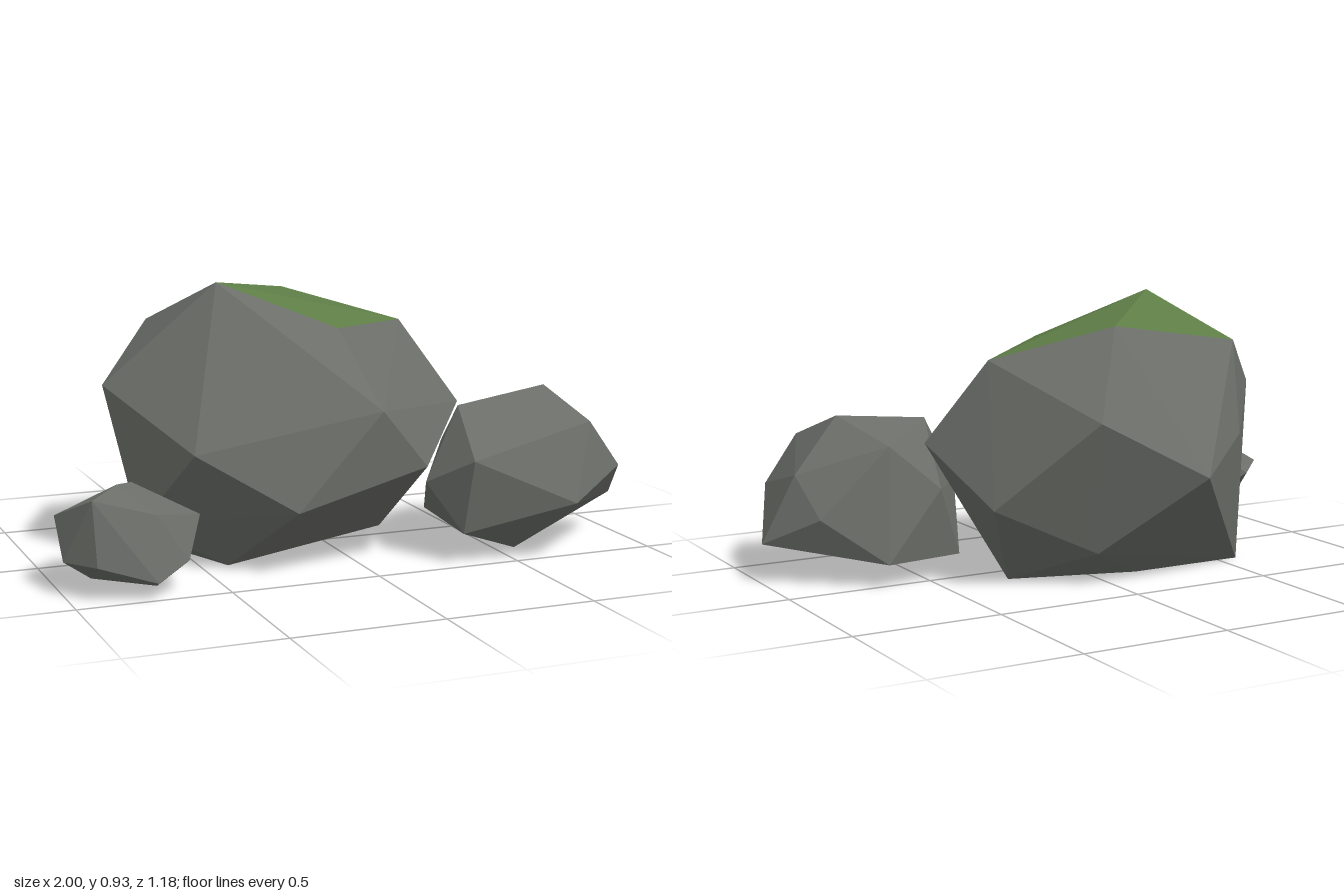
import * as THREE from 'three';
import { ConvexGeometry } from 'three/addons/geometries/ConvexGeometry.js';

const stone = new THREE.MeshStandardMaterial({ color: 0x6b6e69, flatShading: true });
stone.name = 'stone';
const moss = new THREE.MeshStandardMaterial({ color: 0x5e7d46, flatShading: true });
moss.name = 'moss';

const toVectors = (points) => points.map((p) => new THREE.Vector3(...p));

// A faceted boulder: the hull around a few corner points
function boulder(name, points) {
  const mesh = new THREE.Mesh(new ConvexGeometry(toVectors(points)), stone);
  mesh.name = name;
  return mesh;
}

// Splits a hull into the facets whose corners all lie in `corners`, and the rest
function splitFacets(geometry, corners) {
  const pos = geometry.attributes.position;
  const marks = toVectors(corners);
  const inside = [];
  const outside = [];
  const v = new THREE.Vector3();
  for (let i = 0; i < pos.count; i += 3) {
    const tri = [];
    let hits = 0;
    for (let k = 0; k < 3; k++) {
      v.fromBufferAttribute(pos, i + k);
      if (marks.some((m) => m.distanceTo(v) < 1e-4)) hits++;
      tri.push(v.x, v.y, v.z);
    }
    (hits === 3 ? inside : outside).push(...tri);
  }
  return [inside, outside].map((list) => {
    const g = new THREE.BufferGeometry();
    g.setAttribute('position', new THREE.Float32BufferAttribute(list, 3));
    g.computeVertexNormals();
    return g;
  });
}

export function createModel() {
  const model = new THREE.Group();
  model.name = 'rockCluster';

  // Main boulder with a mossy crown
  const crown = [
    [-0.41, 0.925, 0.1], [-0.55, 0.77, -0.235], [-0.03, 0.85, -0.305],
    [0.335, 0.74, -0.11], [-0.03, 0.77, 0.22],
  ];
  const body = [
    // sides
    [-0.765, 0.59, -0.02], [-0.48, 0.47, -0.38], [-0.215, 0.375, -0.59],
    [0.13, 0.565, -0.49], [0.395, 0.27, -0.26], [0.5, 0.46, 0.03],
    [0.03, 0.53, 0.46], [-0.26, 0.22, 0.46], [-0.57, 0.41, 0.35],
    [0.2, 0.33, 0.43], [-0.685, 0.14, 0.11], [0.07, 0.115, -0.37],
    // flat base
    [-0.41, 0, 0.195], [0.265, 0, -0.11], [-0.16, 0, -0.235], [-0.575, 0, -0.235],
  ];
  const hull = new ConvexGeometry(toVectors([...crown, ...body]));
  const [mossGeometry, stoneGeometry] = splitFacets(hull, crown);
  const mainStone = new THREE.Mesh(stoneGeometry, stone);
  mainStone.name = 'mainBoulder';
  const mossCap = new THREE.Mesh(mossGeometry, moss);
  mossCap.name = 'mossCap';
  model.add(mainStone, mossCap);

  // Medium boulder on the left (+x)
  model.add(boulder('mediumBoulder', [
    [0.72, 0.54, 0.25], [0.37, 0.5, 0.3], [0.77, 0.45, 0.485],
    [0.325, 0.355, 0.525], [0.23, 0.26, 0.355], [0.31, 0.105, 0.48],
    [0.89, 0.29, 0.475], [0.9, 0.365, 0.18], [1.0, 0.135, 0.23],
    [0.565, 0.003, 0.35], [0.67, 0.2, 0.588], [0.665, 0.08, -0.04],
    [0.475, 0.315, -0.04], [0.86, 0.23, 0.065], [0.63, 0.46, 0.025],
    [0.39, 0.08, 0],
  ]));

  // Small stone on the right (-x)
  model.add(boulder('smallStone', [
    [-0.925, 0.315, 0.43], [-0.735, 0.31, 0.2], [-0.8, 0.32, 0.26],
    [-0.85, 0.225, 0.085], [-1.0, 0.235, 0.245], [-1.0, 0.11, 0.35],
    [-0.9, 0.035, 0.3], [-0.7, 0.003, 0.35], [-0.62, 0.1, 0.44],
    [-0.545, 0.215, 0.32], [-0.74, 0.055, 0.505], [-0.725, 0.255, 0.44],
    [-0.92, 0.11, 0.46], [-0.68, 0.1, 0.17],
  ]));

  return model;
}
